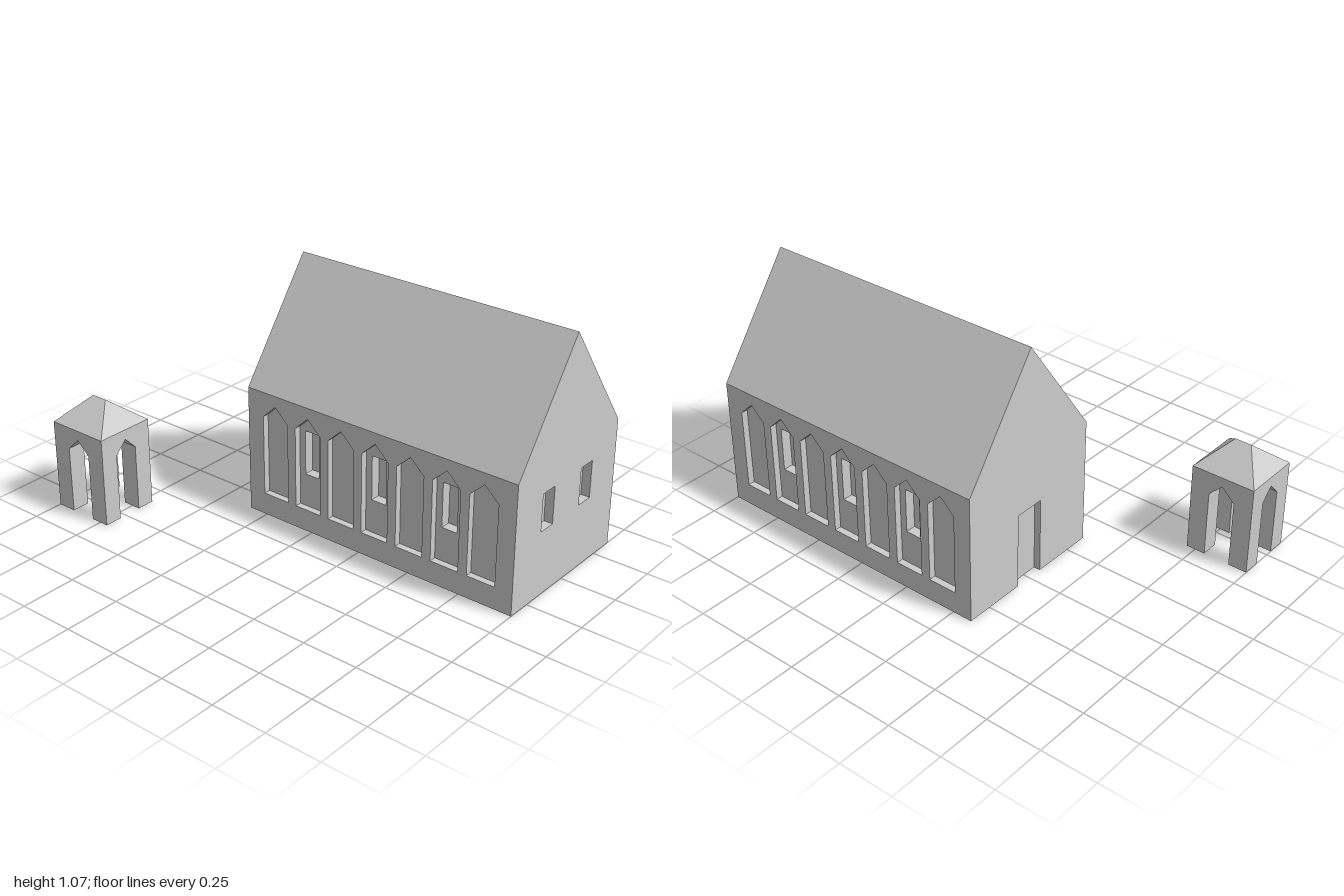
import * as THREE from 'three';

const stone = new THREE.MeshStandardMaterial({ color: 0xcccccc, side: THREE.DoubleSide });
stone.name = 'pale stone grey';

function add(parent, name, geometry, x = 0, y = 0, z = 0) {
  const mesh = new THREE.Mesh(geometry, stone);
  mesh.name = name;
  mesh.position.set(x, y, z);
  parent.add(mesh);
  return mesh;
}

const polygon = (pts, Type = THREE.Shape) => new Type(pts.map(([x, y]) => new THREE.Vector2(x, y)));
const rect = (x0, x1, y0, y1) => [[x0, y0], [x1, y0], [x1, y1], [x0, y1]];

// Flat wall panel: an outline with cut-outs, given a thickness
function panel(outline, holes, depth) {
  const shape = polygon(outline);
  shape.holes = holes.map((h) => polygon(h, THREE.Path));
  return new THREE.ExtrudeGeometry(shape, { depth, bevelEnabled: false });
}

// Faceted surface from planar faces of three or four corners
function facets(faces) {
  const pos = [];
  for (const f of faces) {
    for (let i = 1; i < f.length - 1; i++) pos.push(...f[0], ...f[i], ...f[i + 1]);
  }
  const g = new THREE.BufferGeometry();
  g.setAttribute('position', new THREE.Float32BufferAttribute(pos, 3));
  g.computeVertexNormals();
  return g;
}

function createHall() {
  const hall = new THREE.Group();
  hall.name = 'hall';
  const L = 0.671, W = 0.36, eave = 0.575, ridge = 1.072;
  const niche = 0.03, reveal = 0.045, skin = niche + reveal;
  const endDepth = 0.04, doorDepth = 0.03;

  // Long walls: seven pointed niches, every second one with a blind window
  const arches = [], windows = [];
  for (let i = 0; i < 7; i++) {
    const c = (i - 3) * 0.1745;
    arches.push([[c - 0.066, 0.1], [c + 0.066, 0.1], [c + 0.066, 0.463], [c, 0.525], [c - 0.066, 0.463]]);
    if (i % 2) windows.push(rect(c - 0.036, c + 0.036, 0.25, 0.45));
  }
  for (const [name, angle] of [['frontWall', 0], ['backWall', Math.PI]]) {
    const wall = new THREE.Group();
    wall.name = name;
    wall.rotation.y = angle;
    add(wall, 'nicheLayer', panel(rect(-L, L, 0, eave), arches, niche), 0, 0, W - niche);
    add(wall, 'windowLayer', panel(rect(-L, L, 0, eave), windows, reveal), 0, 0, W - skin);
    hall.add(wall);
  }

  // End walls: two windows on one side, a doorway on the other
  const w = W - skin;
  const endWindows = [-0.137, 0.137].map((c) => rect(c - 0.041, c + 0.041, 0.293, 0.46));
  const leftEnd = add(hall, 'windowEndWall', panel(rect(-w, w, 0, eave), endWindows, endDepth), L - endDepth);
  leftEnd.rotation.y = Math.PI / 2;
  const d = 0.07, doorTop = 0.345;
  const doorOutline = [[-w, 0], [-d, 0], [-d, doorTop], [d, doorTop], [d, 0], [w, 0], [w, eave], [-w, eave]];
  const rightEnd = add(hall, 'doorEndWall', panel(doorOutline, [], doorDepth), doorDepth - L);
  rightEnd.rotation.y = -Math.PI / 2;

  // Solid core that closes the backs of the recesses and forms the floor
  add(hall, 'core', new THREE.BoxGeometry(2 * L - endDepth - doorDepth, eave, 2 * w),
    (doorDepth - endDepth) / 2, eave / 2, 0);

  // Gabled roof
  const roof = add(hall, 'gableRoof', panel([[-W, eave], [W, eave], [0, ridge]], [], 2 * L), -L);
  roof.rotation.y = Math.PI / 2;
  return hall;
}

function createPavilion() {
  const pavilion = new THREE.Group();
  pavilion.name = 'pavilion';
  const X = 0.145, Z = 0.135, ox = 0.059, oz = 0.054;
  const spring = 0.3, peak = 0.356, top = 0.4, apex = 0.508, r = 0.037;

  // Corner posts
  for (const sx of [-1, 1]) {
    for (const sz of [-1, 1]) {
      add(pavilion, 'cornerPost', new THREE.BoxGeometry(X - ox, spring, Z - oz),
        sx * (X + ox) / 2, spring / 2, sz * (Z + oz) / 2);
    }
  }

  // Wall faces over the pointed openings
  const faces = [[X, ox, Z, 0], [Z, oz, X, 1], [X, ox, Z, 2], [Z, oz, X, 3]];
  for (const [half, open, out, turn] of faces) {
    const shape = polygon([[-half, spring], [-open, spring], [0, peak], [open, spring],
      [half, spring], [half, top], [-half, top]]);
    const geometry = new THREE.ShapeGeometry(shape);
    geometry.translate(0, 0, out).rotateY(turn * Math.PI / 2);
    add(pavilion, 'archWall', geometry);
  }

  // Crossing pointed vaults meeting along diagonal groins
  const vault = [];
  for (const sx of [-1, 1]) {
    for (const sz of [-1, 1]) {
      const corner = [sx * ox, spring, sz * oz], centre = [0, peak, 0];
      const a = [[sx * ox, spring, sz * Z], corner, centre, [0, peak, sz * Z]];
      const b = [[sx * X, spring, sz * oz], [sx * X, peak, 0], centre, corner];
      // keep every soffit facing down
      vault.push(...(sx * sz > 0 ? [a, b] : [a.reverse(), b.reverse()]));
    }
  }
  add(pavilion, 'vault', facets(vault.map((f) => {
    const [p, q, s] = f.map((v) => new THREE.Vector3(...v));
    const n = q.clone().sub(p).cross(s.clone().sub(p));
    return n.y > 0 ? f.reverse() : f;
  })));

  // Hipped roof
  const A = [-X, top, Z], B = [X, top, Z], C = [X, top, -Z], D = [-X, top, -Z];
  const R0 = [-r, apex, 0], R1 = [r, apex, 0];
  add(pavilion, 'hipRoof', facets([[A, B, R1, R0], [B, C, R1], [C, D, R0, R1], [D, A, R0]]));
  return pavilion;
}

export function createModel() {
  const model = new THREE.Group();
  model.name = 'hallAndPavilion';
  const hall = createHall();
  hall.position.set(0.329, 0, -0.252);
  const pavilion = createPavilion();
  pavilion.position.set(-0.855, 0, 0.477);
  model.add(hall, pavilion);
  return model;
}
